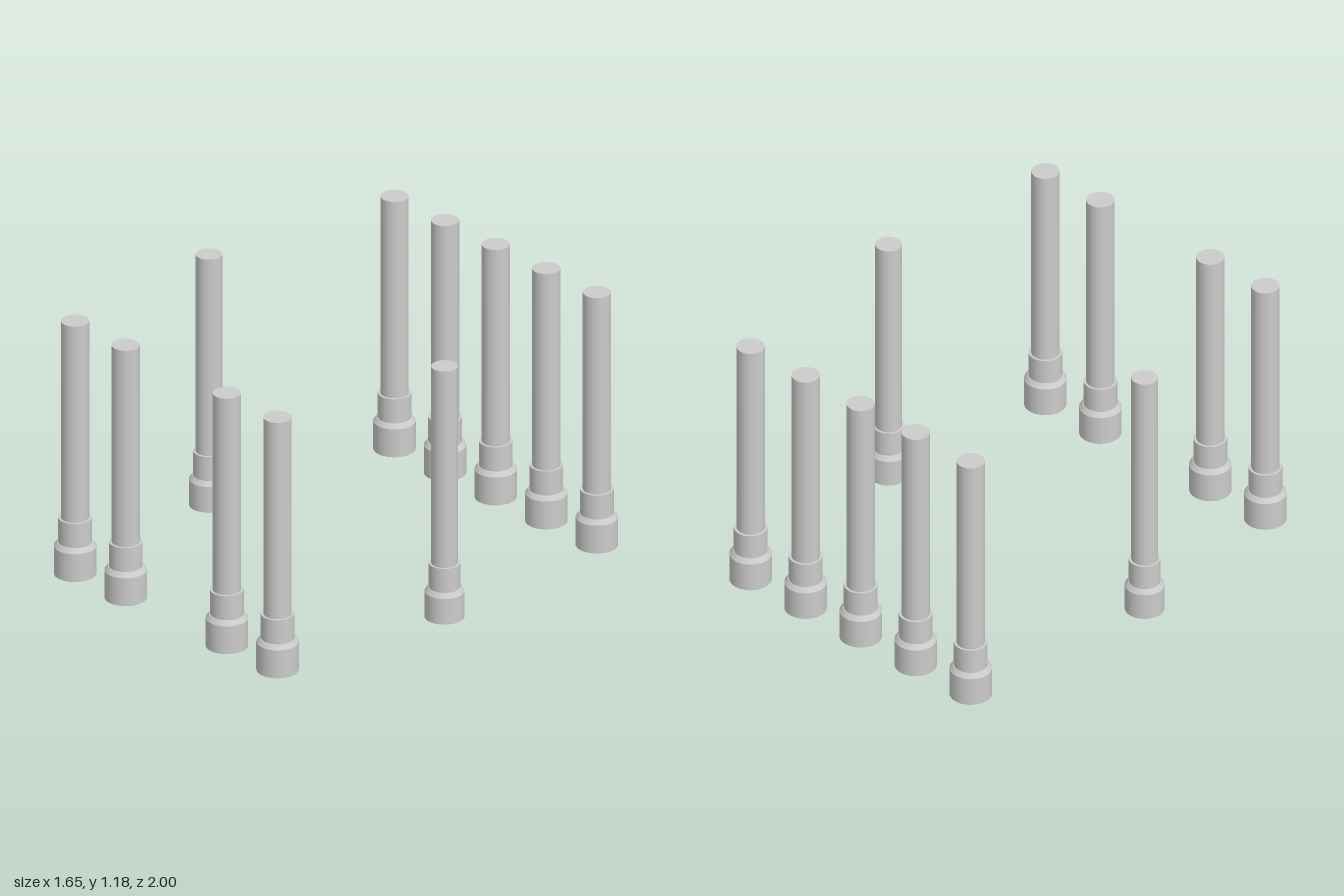
import * as THREE from 'three';

const material = new THREE.MeshStandardMaterial({ color: 0xcccccc });
const SIDES = 40;
const TOP = 1.18;

// Upright round section between two heights
function section(name, rBottom, rTop, y0, y1, openEnded = false) {
  const geometry = new THREE.CylinderGeometry(rTop, rBottom, y1 - y0, SIDES, 1, openEnded);
  const mesh = new THREE.Mesh(geometry, material);
  mesh.name = name;
  mesh.position.y = (y0 + y1) / 2;
  return mesh;
}

// Column: wide base, sloped shoulder, collar and plain shaft; s scales the radii
function column(name, x, z, s, bottom) {
  const group = new THREE.Group();
  group.name = name;
  group.add(
    section('base', 0.09 * s, 0.09 * s, bottom, 0.13),
    section('shoulder', 0.09 * s, 0.075 * s, 0.13, 0.15),
    section('collar', 0.0715 * s, 0.0715 * s, 0.14, 0.262),
    section('shaft', 0.06 * s, 0.06 * s, 0.25, TOP)
  );
  group.position.set(x, 0, z);
  return group;
}

export function createModel() {
  const model = new THREE.Group();
  model.name = 'columns';

  // Back row of five, front row of four with an open middle
  for (const x of [-0.636, -0.318, 0, 0.318, 0.636]) {
    model.add(column('backColumn', x, -0.91, 1, 0));
    if (x !== 0) model.add(column('frontColumn', x, 0.91, 1, 0));
  }

  // Slightly slimmer column on each side
  for (const side of [-1, 1]) {
    model.add(column('sideColumn', side * 0.74, 0.053, 0.94, 0.01));
  }
  return model;
}
